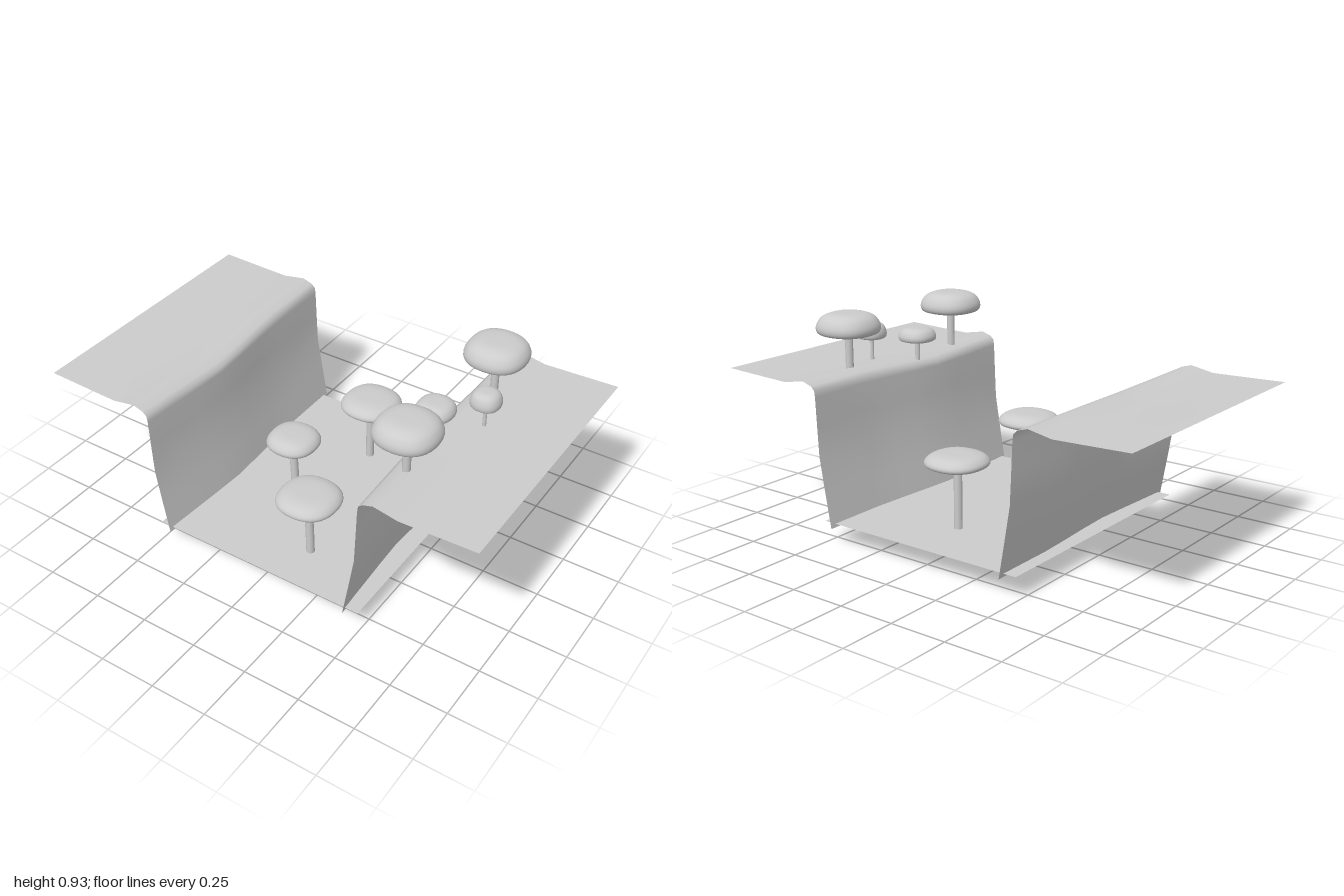
import * as THREE from 'three';

const grey = new THREE.MeshStandardMaterial({ color: 0xcccccc });
const sheet = new THREE.MeshStandardMaterial({ color: 0xcccccc, side: THREE.DoubleSide });

function add(parent, name, geometry, material) {
  const mesh = new THREE.Mesh(geometry, material);
  mesh.name = name;
  parent.add(mesh);
  return mesh;
}

// Bank section from the foot of the wall to the outer edge: x, y, bulge weight, dip weight
const bankSection = [
  [0.435, 0.085, 1, 0], [0.462, 0.24, 1, 0], [0.487, 0.39, 1, 0], [0.493, 0.52, 1, 0],
  [0.498, 0.64, 1, 0.5], [0.502, 0.668, 1, 1], [0.52, 0.684, 0.9, 1], [0.565, 0.698, 0.6, 1],
  [0.61, 0.69, 0.4, 0.6], [0.67, 0.679, 0.2, 0.2], [0.8, 0.683, 0, 0], [1, 0.69, 0, 0],
];
// Stations along z with the amount the wall bulges into the channel
const stations = [[-0.6, 0], [-0.3, 0], [-0.15, 0.008], [0, 0.018], [0.15, 0.025], [0.3, 0.018], [0.45, 0.009], [0.6, 0]];

function bankGeometry(side) {
  const positions = [], index = [], n = bankSection.length;
  for (const [z, bulge] of stations) {
    for (const [x, y, push, dip] of bankSection) {
      positions.push(side * (x - bulge * push), y - bulge * dip * 0.55, z);
    }
  }
  for (let j = 0; j < stations.length - 1; j++) {
    for (let i = 0; i < n - 1; i++) {
      const a = j * n + i, b = a + 1, c = a + n, d = c + 1;
      if (side > 0) index.push(a, c, b, b, c, d);
      else index.push(a, b, c, b, d, c);
    }
  }
  const geometry = new THREE.BufferGeometry();
  geometry.setAttribute('position', new THREE.Float32BufferAttribute(positions, 3));
  geometry.setIndex(index);
  geometry.computeVertexNormals();
  return geometry;
}

// Unit cap profile with a hollow underside
const capProfile = new THREE.SplineCurve([
  [0, 0.4], [0.4, 0.36], [0.62, 0.12], [0.8, 0], [0.95, 0.08], [1, 0.3],
  [0.95, 0.56], [0.8, 0.82], [0.5, 0.98], [0, 1],
].map(([x, y]) => new THREE.Vector2(x, y))).getPoints(36);
capProfile.forEach((p) => { p.x = Math.max(0, p.x); });

// Slightly squared round cap
function capGeometry(radius, height) {
  const geometry = new THREE.LatheGeometry(capProfile, 40);
  const p = geometry.attributes.position;
  for (let i = 0; i < p.count; i++) {
    const x = p.getX(i), z = p.getZ(i);
    const k = radius * (1 - 0.025 * (Math.cos(4 * Math.atan2(z, x)) - 1));
    p.setXYZ(i, x * k, p.getY(i) * height, z * k);
  }
  geometry.computeVertexNormals();
  // Share normals across the lathe seam
  const normal = geometry.attributes.normal, rows = capProfile.length, last = 40 * rows;
  for (let i = 0; i < rows; i++) {
    const v = new THREE.Vector3().fromBufferAttribute(normal, i)
      .add(new THREE.Vector3().fromBufferAttribute(normal, last + i)).normalize();
    normal.setXYZ(i, v.x, v.y, v.z);
    normal.setXYZ(last + i, v.x, v.y, v.z);
  }
  return geometry;
}

// Round-ended stem that bends sideways towards its top
function stemGeometry(radius, bottom, top, lean) {
  const length = top - bottom;
  const geometry = new THREE.CapsuleGeometry(radius, length - 2 * radius, 5, 14, 8);
  geometry.translate(0, length / 2, 0);
  const p = geometry.attributes.position;
  for (let i = 0; i < p.count; i++) {
    const t = p.getY(i) / length;
    p.setXYZ(i, p.getX(i) + lean * t * t, p.getY(i) + bottom, p.getZ(i));
  }
  geometry.computeVertexNormals();
  return geometry;
}

function mushroom(name, m) {
  const group = new THREE.Group();
  group.name = name;
  group.position.set(m.x, 0, m.z);
  const cap = add(group, 'cap', capGeometry(m.r, m.y1 - m.y0), grey);
  cap.position.y = m.y0;
  const stem = add(group, 'stem', stemGeometry(m.stem, m.bottom, m.y0 + (m.y1 - m.y0) * 0.6, m.lean || 0), grey);
  stem.position.x = m.offset || 0;
  return group;
}

export function createModel() {
  const model = new THREE.Group();
  model.name = 'mushroomGully';

  // Channel floor
  const floor = add(model, 'floor', new THREE.PlaneGeometry(0.99, 1.155).rotateX(-Math.PI / 2), sheet);
  floor.position.set(0, 0.1, 0.004);

  // Mirrored banks
  add(model, 'leftBank', bankGeometry(1), sheet);
  add(model, 'rightBank', bankGeometry(-1), sheet);

  // Flat-capped mushrooms on the floor
  [
    { x: 0, z: -0.303, r: 0.13, y0: 0.37, y1: 0.427, stem: 0.018, bottom: 0.015, offset: -0.003 },
    { x: -0.144, z: 0.092, r: 0.112, y0: 0.355, y1: 0.416, stem: 0.018, bottom: 0.003, offset: 0.005, lean: -0.015 },
    { x: 0.134, z: 0.382, r: 0.132, y0: 0.364, y1: 0.422, stem: 0.018, bottom: 0.015, offset: 0.003, lean: -0.012 },
  ].forEach((m, i) => model.add(mushroom('floorMushroom' + (i + 1), m)));

  // Domed mushrooms on the left bank
  [
    { x: 0.584, z: -0.302, r: 0.131, y0: 0.843, y1: 0.935, stem: 0.017, bottom: 0.484 },
    { x: 0.551, z: 0.34, r: 0.131, y0: 0.843, y1: 0.935, stem: 0.017, bottom: 0.484 },
    { x: 0.51, z: 0.055, r: 0.08, y0: 0.76, y1: 0.82, stem: 0.011, bottom: 0.54 },
    { x: 0.658, z: -0.08, r: 0.063, y0: 0.776, y1: 0.846, stem: 0.008, bottom: 0.562 },
  ].forEach((m, i) => model.add(mushroom('bankMushroom' + (i + 1), m)));

  return model;
}
